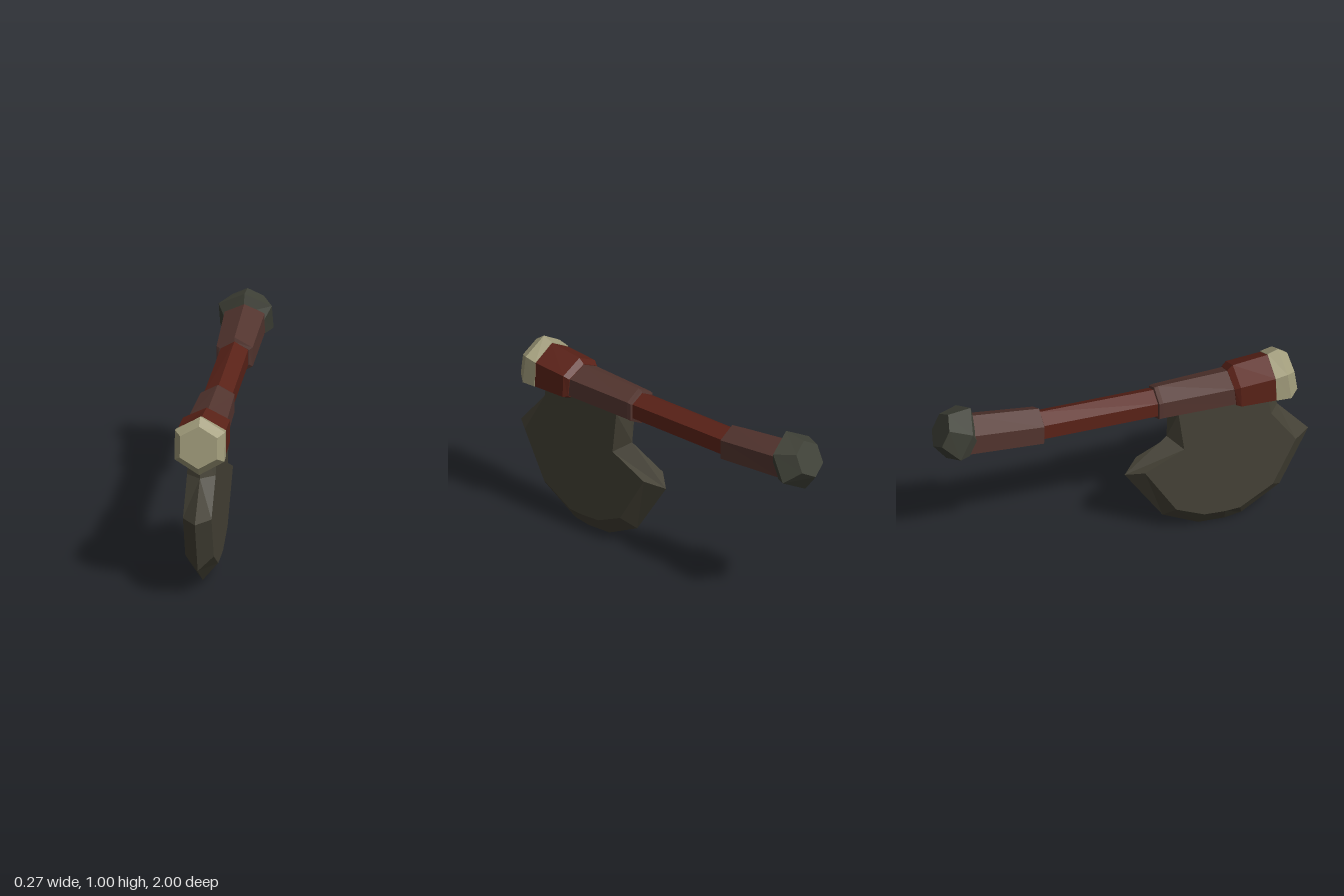
import * as THREE from 'three';

const COLORS = { red: 0x5a2218, leather: 0x53352f, iron: 0x3f4137, blade: 0x454236, bone: 0xa29d7c };

function makeMesh(name, triangles, color) {
  const geometry = new THREE.BufferGeometry().setFromPoints(triangles);
  geometry.computeVertexNormals();
  const mesh = new THREE.Mesh(geometry, new THREE.MeshStandardMaterial({ color, flatShading: true }));
  mesh.name = name;
  return mesh;
}

// Hexagonal loft from +z to -z; each ring is [topZ, topY, bottomZ, bottomY, halfWidth]
function hexLoft(name, color, rings) {
  const loops = rings.map(([tz, ty, bz, by, w]) =>
    Array.from({ length: 6 }, (_, k) => {
      const a = (k * Math.PI) / 3, c = Math.cos(a) / 2;
      return new THREE.Vector3(
        (w * Math.sin(a)) / Math.sin(Math.PI / 3),
        (ty + by) / 2 + (ty - by) * c,
        (tz + bz) / 2 + (tz - bz) * c
      );
    })
  );
  const tris = [];
  for (let i = 0; i < loops.length - 1; i++) {
    const a = loops[i], b = loops[i + 1];
    for (let k = 0; k < 6; k++) {
      const n = (k + 1) % 6;
      tris.push(a[k], a[n], b[n], a[k], b[n], b[k]);
    }
  }
  const first = loops[0], last = loops[loops.length - 1];
  for (let k = 1; k < 5; k++) {
    tris.push(first[0], first[k + 1], first[k], last[0], last[k], last[k + 1]);
  }
  return makeMesh(name, tris, color);
}

// Axe blade: flat cheeks bevelled out to a sharp rim; points are [z, y]
function makeBlade() {
  const rim = [[0.81, 0.76], [0.835, 0.645], [1, 0.455], [0.845, 0.145], [0.64, 0.015], [0.55, 0],
    [0.41, 0.005], [0.22, 0.095], [0.02, 0.39], [0.245, 0.58], [0.25, 0.76]];
  const cheek = [[0.76, 0.76], [0.78, 0.645], [0.91, 0.455], [0.785, 0.205], [0.61, 0.1], [0.53, 0.095],
    [0.42, 0.1], [0.27, 0.165], [0.105, 0.43], [0.315, 0.53], [0.285, 0.76]];
  // The blade leans slightly to one side towards its edge
  const point = ([z, y], x) => new THREE.Vector3(x - 0.015 * (1 - y / 0.76), y, z);
  const faces = THREE.ShapeUtils.triangulateShape(cheek.map(([z, y]) => new THREE.Vector2(-z, y)), []);
  const tris = [];
  for (const side of [1, -1]) {
    const outer = rim.map((p) => point(p, 0));
    const inner = cheek.map((p) => point(p, side * 0.073));
    const add = (a, b, c) => (side > 0 ? tris.push(a, b, c) : tris.push(a, c, b));
    for (const [a, b, c] of faces) add(inner[a], inner[b], inner[c]);
    for (let i = 0; i < rim.length; i++) {
      const n = (i + 1) % rim.length;
      add(outer[i], outer[n], inner[n]);
      add(outer[i], inner[n], inner[i]);
    }
  }
  return makeMesh('blade', tris, COLORS.blade);
}

export function createModel() {
  const axe = new THREE.Group();
  axe.name = 'axe';
  axe.add(
    // Bevelled cap at the head end
    hexLoft('headCap', COLORS.bone, [
      [0.89, 0.95, 0.92, 0.73, 0.095],
      [0.84, 0.985, 0.88, 0.682, 0.128],
      [0.785, 0.965, 0.795, 0.69, 0.125],
    ]),
    // Thick head of the haft
    hexLoft('haftHead', COLORS.red, [
      [0.79, 0.962, 0.8, 0.69, 0.122],
      [0.6, 0.94, 0.61, 0.702, 0.12],
      [0.57, 0.915, 0.59, 0.715, 0.105],
    ]),
    // Wrap between head and grip
    hexLoft('upperWrap', COLORS.leather, [
      [0.58, 0.912, 0.59, 0.72, 0.1],
      [0.2, 0.903, 0.2, 0.715, 0.087],
      [0.18, 0.898, 0.18, 0.712, 0.085],
      [0.175, 0.885, 0.175, 0.73, 0.07],
    ]),
    hexLoft('grip', COLORS.red, [
      [0.2, 0.885, 0.2, 0.732, 0.073],
      [-0.45, 0.892, -0.45, 0.728, 0.07],
    ]),
    // Flared wrap near the pommel
    hexLoft('lowerWrap', COLORS.leather, [
      [-0.43, 0.89, -0.43, 0.73, 0.075],
      [-0.435, 0.913, -0.44, 0.706, 0.092],
      [-0.8, 0.955, -0.86, 0.737, 0.102],
    ]),
    // Tilted pommel
    hexLoft('pommel', COLORS.iron, [
      [-0.78, 0.91, -0.855, 0.738, 0.1],
      [-0.8, 1.005, -0.93, 0.72, 0.136],
      [-0.92, 0.99, -1, 0.81, 0.08],
    ]),
    makeBlade()
  );
  return axe;
}
